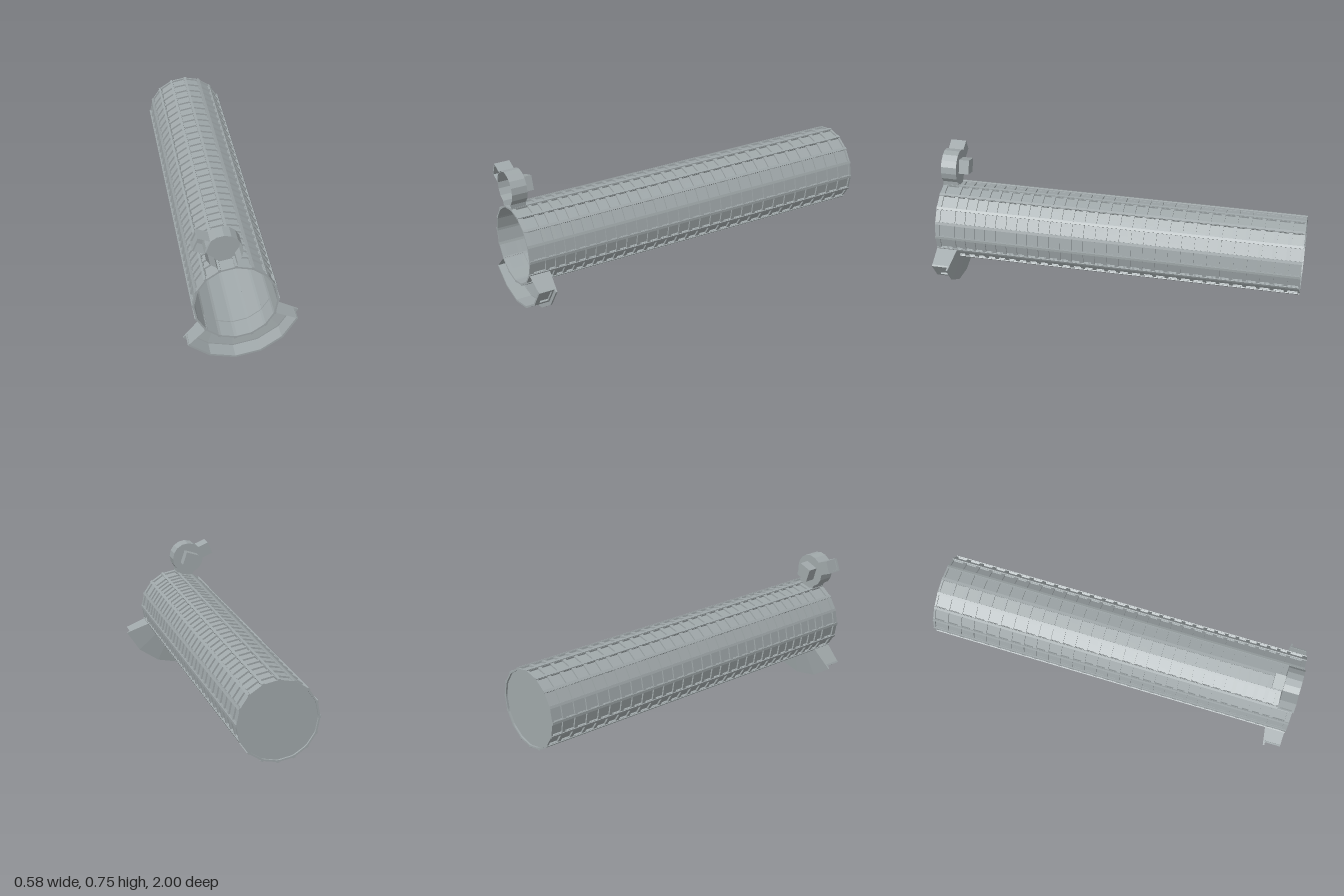
import * as THREE from 'three';

const CX = -0.04, CY = 0.355;            // tube axis
const SIDES = 16, STEP = Math.PI * 2 / SIDES;

export function createModel() {
  const root = new THREE.Group();
  root.name = 'ribbedTunnel';
  const grey = new THREE.MeshStandardMaterial({ color: 0xa0a8aa, flatShading: true, side: THREE.DoubleSide });
  grey.name = 'concrete grey';

  const add = (parent, name, geometry) => {
    const mesh = new THREE.Mesh(geometry, grey);
    mesh.name = name;
    parent.add(mesh);
    return mesh;
  };
  const group = (name) => {
    const g = new THREE.Group();
    g.name = name;
    root.add(g);
    return g;
  };
  const path = (pts) => pts.map(([x, y]) => new THREE.Vector2(x, y));
  const rect = (w, a, b) => path([[-w / 2, a], [w / 2, a], [w / 2, b], [-w / 2, b]]);

  // Matrix for a wall whose outward normal points at the given angle, local y along world z
  const facing = (x, y, angle, dist) => {
    const c = Math.cos(angle), s = Math.sin(angle);
    return new THREE.Matrix4().makeBasis(
      new THREE.Vector3(-s, c, 0), new THREE.Vector3(0, 0, 1), new THREE.Vector3(c, s, 0)
    ).setPosition(x + c * dist, y + s * dist, 0);
  };

  // Framework with recessed panels behind its openings
  const panelWall = (parent, name, matrix, width, z0, z1, openings, holeWidth, depth) => {
    const shape = new THREE.Shape(rect(width, z0, z1));
    for (const [a, b] of openings) shape.holes.push(new THREE.Path(rect(holeWidth, a, b)));
    const frame = new THREE.ExtrudeGeometry(shape, { depth, bevelEnabled: false });
    add(parent, name + 'Frame', frame.applyMatrix4(matrix));
    const back = new THREE.ShapeGeometry(new THREE.Shape(rect(width, z0, z1)));
    add(parent, name + 'Panels', back.applyMatrix4(matrix));
  };

  // Main tube: sixteen panelled walls, with bays lengthening toward the back
  const tube = group('tube');
  const bays = [[0.91, 0.975]];
  const count = 29;
  let z = 0.9;
  for (let i = 0; i < count; i++) {
    const pitch = THREE.MathUtils.lerp(0.056, 0.075, i / (count - 1));
    bays.push([z - pitch + 0.01, z - 0.01]);
    z -= pitch;
  }
  const inner = 0.2;
  const wallWidth = 2 * (inner + 0.008) * Math.tan(STEP / 2);
  for (let i = 0; i < SIDES; i++) {
    panelWall(tube, 'wall', facing(CX, CY, (i + 0.5) * STEP, inner), wallWidth, -1, 1, bays, 0.066, 0.009);
    const rib = new THREE.BoxGeometry(0.014, 2, 0.014);
    add(tube, 'longRib', rib.applyMatrix4(facing(CX, CY, i * STEP, 0.2095)));
  }
  add(tube, 'backCap', new THREE.CircleGeometry(0.206, SIDES)).position.set(CX, CY, -0.99);

  // Lower fan: sloping back, lip, panelled rim and end walls
  const fan = group('lowerFan');
  const back = new THREE.LatheGeometry(
    path([[0.2, 0.885], [0.355, 0.908], [0.355, 0.916], [0.32, 0.916]]), 5, -2 * STEP, 5 * STEP);
  back.rotateX(Math.PI / 2);
  add(fan, 'fanBack', back).position.set(CX, CY, 0);
  const rimInner = 0.319, rimDepth = 0.01;
  const rimWidth = 2 * (rimInner + rimDepth) * Math.tan(STEP / 2);
  for (let i = 0; i < 5; i++) {
    panelWall(fan, 'fanRim', facing(CX, CY, -(i + 1.5) * STEP, rimInner),
      rimWidth, 0.912, 1, [[0.925, 0.975]], 0.098, rimDepth);
  }
  for (const angle of [-STEP, -6 * STEP]) {
    const end = new THREE.ShapeGeometry(new THREE.Shape(
      path([[0.2, 0.885], [0.355, 0.908], [0.355, 0.916], [0.335, 0.916], [0.335, 1], [0.2, 1]])));
    end.rotateX(Math.PI / 2).scale(1, 1, 1);
    const mesh = add(fan, 'fanEnd', end);
    mesh.rotation.z = angle;
    mesh.position.set(CX, CY, 0);
  }

  // Shallow open-fronted tray: walls along the outline and a back plate
  const tray = (parent, name, pts, z0, z1, closed) => {
    const pos = [];
    const n = closed ? pts.length : pts.length - 1;
    for (let i = 0; i < n; i++) {
      const [ax, ay] = pts[i], [bx, by] = pts[(i + 1) % pts.length];
      pos.push(ax, ay, z0, bx, by, z0, bx, by, z1, ax, ay, z0, bx, by, z1, ax, ay, z1);
    }
    const wall = new THREE.BufferGeometry();
    wall.setAttribute('position', new THREE.Float32BufferAttribute(pos, 3));
    wall.computeVertexNormals();
    add(parent, name + 'Wall', wall);
    add(parent, name + 'Back', new THREE.ShapeGeometry(new THREE.Shape(path(pts)))).position.z = z0;
  };

  // Upper round chamber with a neck down to the tube
  const chamber = group('upperChamber');
  const DX = -0.1, DY = 0.657, R = 0.093;
  const outline = [];
  for (let i = -2; i <= 10; i++) {
    outline.push([DX + R * Math.cos(i * STEP), DY + R * Math.sin(i * STEP)]);
  }
  outline.push([-0.135, 0.572], [-0.122, 0.545], [-0.035, 0.562]);
  tray(chamber, 'chamber', outline, 0.915, 1, true);

  // Side arm with a recessed end panel
  tray(chamber, 'arm', [[-0.225, 0.747], [-0.163, 0.722], [-0.191, 0.655], [-0.253, 0.68]].reverse(), 0.915, 1, false);
  panelWall(chamber, 'armEnd', facing(-0.239, 0.7135, THREE.MathUtils.degToRad(157.5), -0.008),
    0.0725, 0.915, 1, [[0.927, 0.988]], 0.054, 0.008);

  // Tilted square stub behind the chamber
  const stub = add(chamber, 'rearStub', new THREE.BoxGeometry(0.078, 0.078, 0.058));
  stub.position.set(-0.104, 0.66, 0.888);
  stub.rotation.z = 0.32;

  return root;
}
